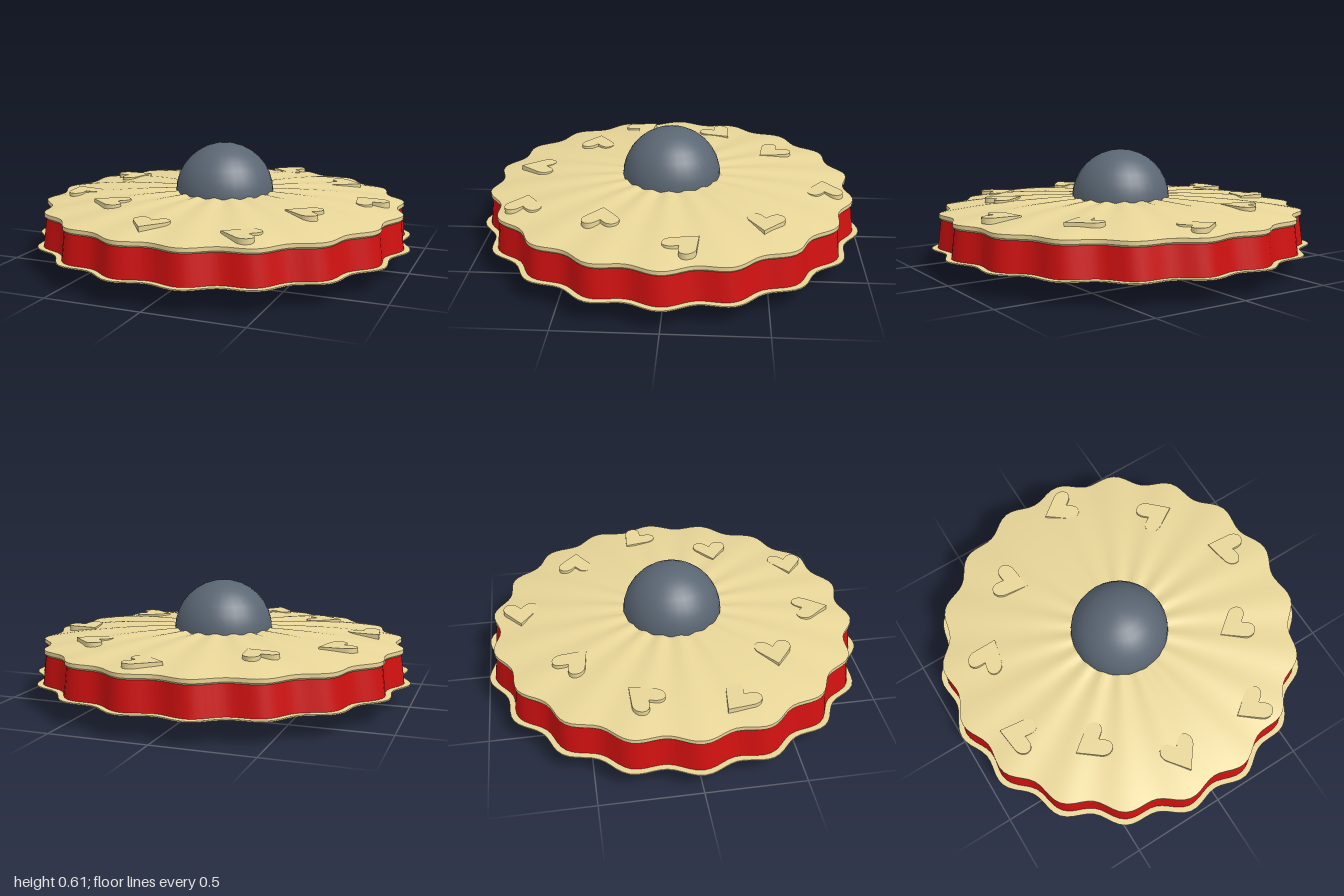
import * as THREE from 'three';
import { toCreasedNormals } from 'three/addons/utils/BufferGeometryUtils.js';

const LOBES = 18;
const dough = new THREE.MeshStandardMaterial({ color: 0xe8d698 });
const jam = new THREE.MeshStandardMaterial({ color: 0xd01010, side: THREE.DoubleSide });
const berry = new THREE.MeshStandardMaterial({ color: 0x5a6673 });

const topHeight = (r) => 0.363 - 0.078 * Math.pow(r, 2.6);

// Lathe a profile (bottom to top), then scallop its outline and pleat its faces
function scalloped(name, profile, material, pleat = 0) {
  const points = profile.map(([r, y]) => new THREE.Vector2(r, y));
  const geometry = new THREE.LatheGeometry(points, LOBES * 10);
  const p = geometry.attributes.position;
  for (let i = 0; i < p.count; i++) {
    const x = p.getX(i), z = p.getZ(i), r = Math.hypot(x, z);
    const wave = Math.cos(LOBES * Math.atan2(z, x));
    const s = 1 + 0.025 * wave;
    const fade = Math.min(1, r / 0.12) * Math.max(0, 1 - r);
    p.setXYZ(i, x * s, p.getY(i) + pleat * wave * fade, z * s);
  }
  const mesh = new THREE.Mesh(toCreasedNormals(geometry, 0.6), material);
  mesh.name = name;
  return mesh;
}

function heartGeometry() {
  const s = new THREE.Shape();
  s.moveTo(0, -0.1);
  s.lineTo(0.082, 0.005);
  s.bezierCurveTo(0.105, 0.04, 0.085, 0.08, 0.055, 0.08);
  s.bezierCurveTo(0.03, 0.08, 0.015, 0.055, 0, 0.035);
  s.bezierCurveTo(-0.015, 0.055, -0.03, 0.08, -0.055, 0.08);
  s.bezierCurveTo(-0.085, 0.08, -0.105, 0.04, -0.082, 0.005);
  s.closePath();
  const g = new THREE.ExtrudeGeometry(s, { depth: 0.03, bevelEnabled: false, curveSegments: 8 });
  return g.rotateX(Math.PI / 2); // lies flat, tip towards -z, top face at y = 0
}

export function createModel() {
  const group = new THREE.Group();

  // Lower wafer: shallow pleated bowl with a flat top
  const bowl = [];
  for (let i = 0; i <= 16; i++) {
    const r = (i / 16) * 0.975;
    bowl.push([r, 0.004 + 0.112 * Math.pow(r / 0.975, 2)]);
  }
  group.add(scalloped('lowerWafer', [...bowl, [0.975, 0.122], [0, 0.122]], dough, 0.005));

  // Jam filling: corrugated wall tapering upwards
  group.add(scalloped('filling', [[0.945, 0.12], [0.925, 0.275]], jam));

  // Upper wafer: thin rim and gently domed, pleated top
  const dome = [];
  for (let i = 16; i >= 0; i--) {
    const r = (i / 16) * 0.935;
    dome.push([r, topHeight(r)]);
  }
  group.add(scalloped('upperWafer', [[0, 0.27], [0.928, 0.27], [0.935, 0.278], ...dome], dough, 0.006));

  // Round berry half sunk in the middle
  const ball = new THREE.Mesh(new THREE.SphereGeometry(0.26, 32, 16), berry);
  ball.name = 'berry';
  ball.position.y = 0.35;
  group.add(ball);

  // Scattered hearts: x, z, direction of the tip (dx, dz)
  const hearts = new THREE.Group();
  hearts.name = 'hearts';
  const geometry = heartGeometry();
  [
    [0.11, -0.8, -1, 0], [0.53, -0.48, 1, 0.1], [0.76, -0.1, -1, -0.9],
    [0.54, 0.31, -1, 0], [0.37, 0.72, -1, 0], [-0.09, 0.73, 0, 1],
    [-0.44, 0.45, -1, 0], [-0.74, 0.21, -1, -1], [-0.67, -0.24, 1, -0.8],
    [-0.36, -0.55, 1, 1],
  ].forEach(([x, z, dx, dz], i) => {
    const heart = new THREE.Mesh(geometry, dough);
    heart.name = `heart${i + 1}`;
    heart.position.set(x, topHeight(Math.hypot(x, z)) + 0.014, z);
    heart.rotation.y = Math.atan2(-dx, -dz);
    hearts.add(heart);
  });
  group.add(hearts);
  return group;
}
